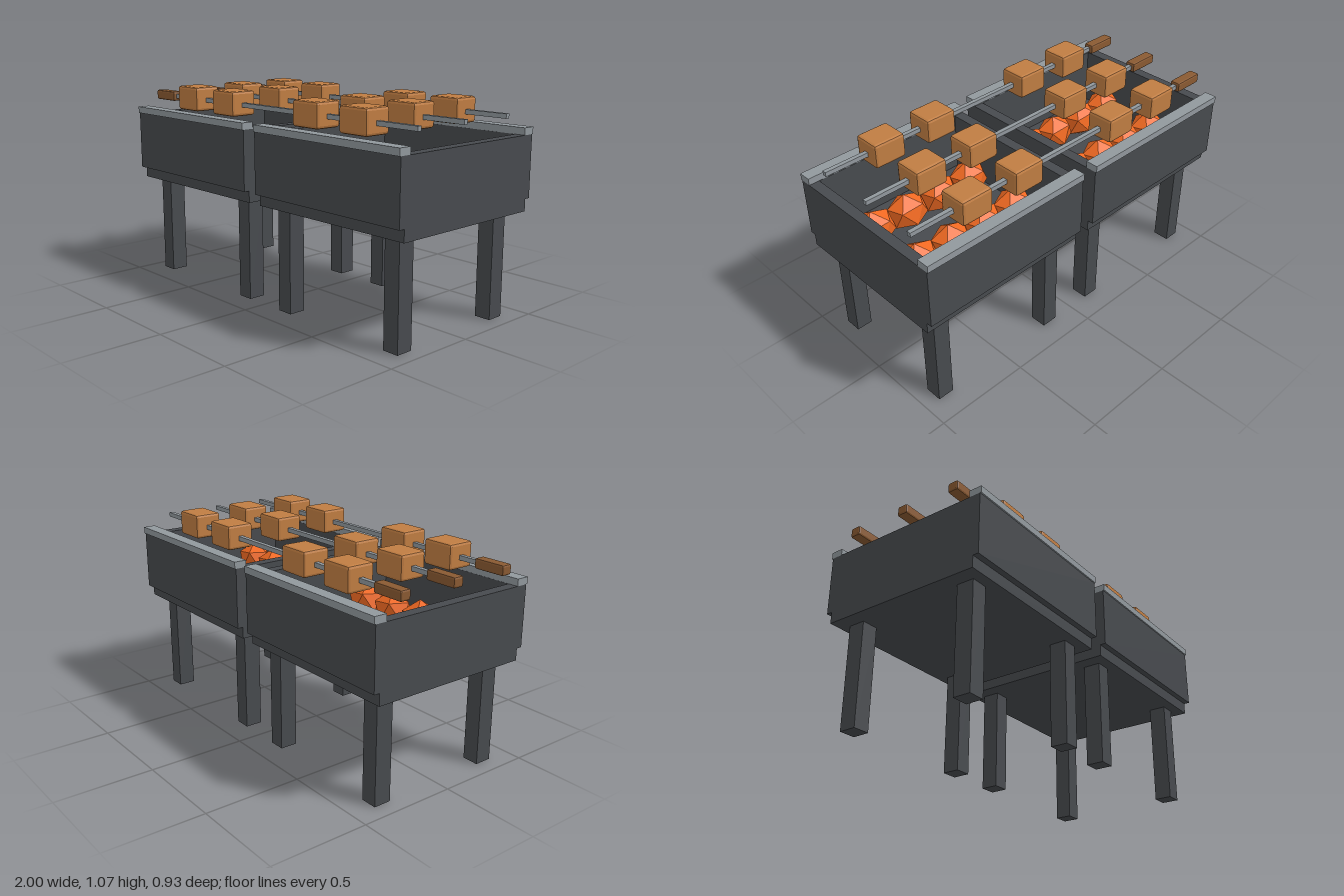
import * as THREE from 'three';
import { RoundedBoxGeometry } from 'three/addons/geometries/RoundedBoxGeometry.js';

const material = (color) => new THREE.MeshStandardMaterial({ color, flatShading: true });

export function createModel() {
  const model = new THREE.Group();
  model.name = 'doubleGrill';

  const iron = material(0x474a4e);
  const steel = material(0x91989d);
  const meat = material(0xc07d42);
  const wood = material(0x8a5a32);
  const ember = material(0xf26a22);

  const add = (parent, name, geometry, mat, x, y, z) => {
    const mesh = new THREE.Mesh(geometry, mat);
    mesh.name = name;
    mesh.position.set(x, y, z);
    parent.add(mesh);
    return mesh;
  };
  const box = (w, h, d) => new THREE.BoxGeometry(w, h, d);

  const width = 0.95;
  const floorGeo = box(width, 0.06, 0.86);
  const longWallGeo = box(width, 0.31, 0.06);
  const endWallGeo = box(0.055, 0.31, 0.8);
  const railGeo = box(width, 0.035, 0.066);
  const legGeo = box(0.086, 0.537, 0.09);

  // Faceted coal with one vertex leaning near the top
  const coalGeo = new THREE.IcosahedronGeometry(0.1, 0);
  coalGeo.rotateZ(0.42).rotateY(0.2).rotateX(0.08).scale(1.12, 1, 0.92);

  // Two matching trays, side by side
  for (const centre of [-0.515, 0.52]) {
    const tray = new THREE.Group();
    tray.name = centre < 0 ? 'rightTray' : 'leftTray';
    tray.position.x = centre;
    model.add(tray);

    add(tray, 'floor', floorGeo, iron, 0, 0.565, 0);
    for (const s of [-1, 1]) {
      add(tray, 'longWall', longWallGeo, iron, 0, 0.75, s * 0.43);
      add(tray, 'endWall', endWallGeo, iron, s * (width / 2 - 0.0275), 0.75, 0);
      add(tray, 'rail', railGeo, steel, 0, 0.9225, s * 0.434);
      for (const t of [-1, 1]) add(tray, 'leg', legGeo, iron, s * 0.358, 0.2685, t * 0.33);
      // Row of glowing coals
      for (let i = 0; i < 4; i++) {
        add(tray, 'coal', coalGeo, ember, -0.296 + i * 0.198, 0.69, s * 0.165);
      }
    }
  }

  // Three skewers lying across both trays
  const rodGeo = box(1.8, 0.023, 0.023);
  const handleGeo = new RoundedBoxGeometry(0.172, 0.052, 0.058, 1, 0.01);
  const meatGeo = new RoundedBoxGeometry(0.175, 0.128, 0.147, 1, 0.014);
  for (const z of [-0.308, 0, 0.308]) {
    const skewer = new THREE.Group();
    skewer.name = 'skewer';
    skewer.position.set(0, 1, z);
    model.add(skewer);
    add(skewer, 'rod', rodGeo, steel, 0.06, 0, 0);
    add(skewer, 'handle', handleGeo, wood, -0.914, 0, 0);
    for (const x of [-0.63, -0.315, 0.32, 0.635]) add(skewer, 'meatCube', meatGeo, meat, x, 0.007, 0);
  }

  return model;
}
